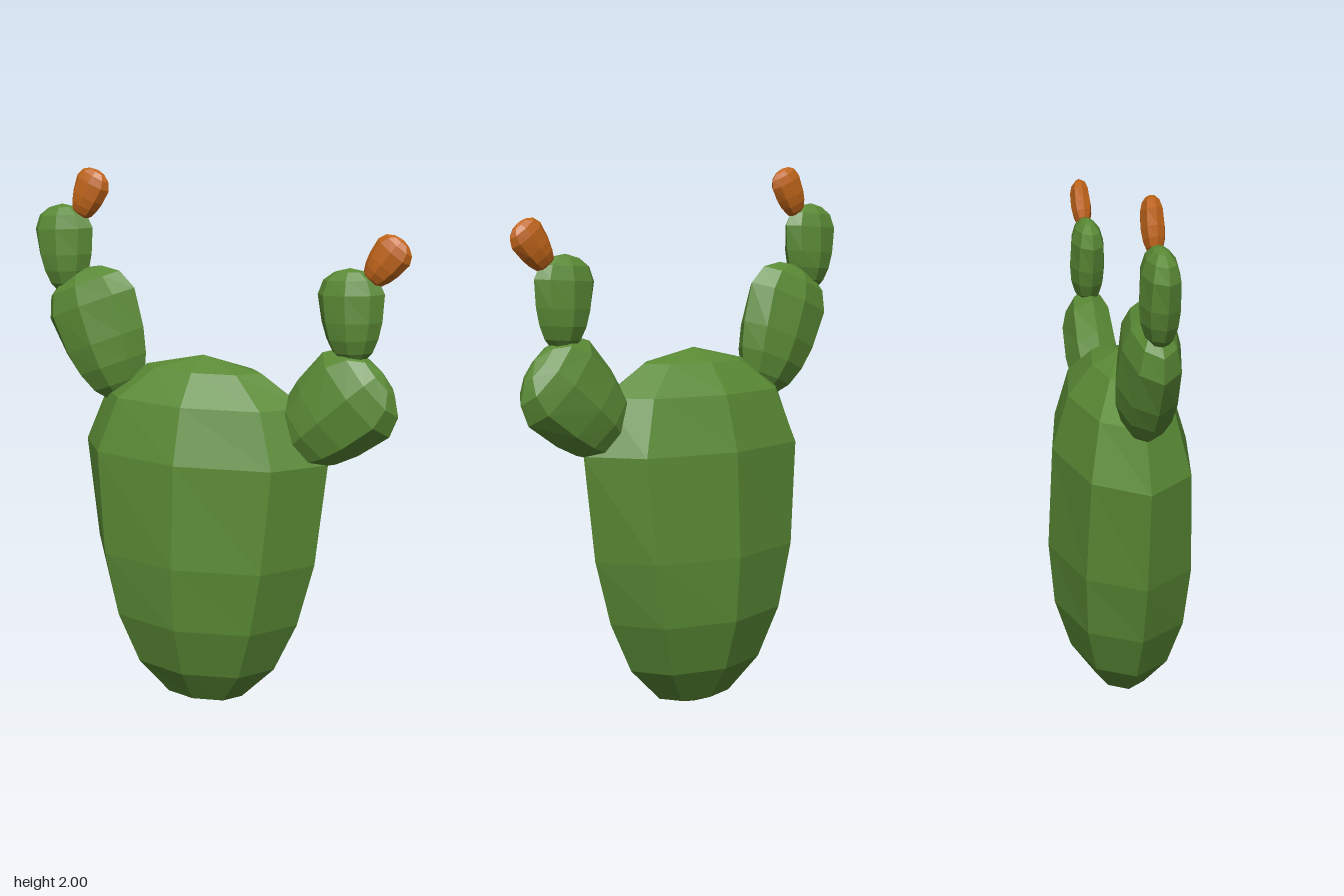
import * as THREE from 'three';

// Pad profile from base to crown: height, half width, half depth
const PROFILE = [
  [0, 0, 0], [0.04, 0.16, 0.1], [0.17, 0.29, 0.19], [0.36, 0.38, 0.25],
  [0.6, 0.445, 0.27], [0.98, 0.49, 0.25], [1.18, 0.4, 0.19], [1.29, 0.23, 0.1], [1.34, 0, 0],
];

// Eight-sided lathe, flattened front to back ring by ring
function padGeometry() {
  const geo = new THREE.LatheGeometry(PROFILE.map(([y, w]) => new THREE.Vector2(w, y)), 8);
  const pos = geo.attributes.position;
  for (let i = 0; i < pos.count; i++) {
    const [, w, d] = PROFILE[i % PROFILE.length];
    pos.setZ(i, w > 0 ? pos.getZ(i) * d / w : 0);
  }
  geo.computeVertexNormals();
  return geo;
}

export function createModel() {
  const group = new THREE.Group();
  const geo = padGeometry();
  const green = new THREE.MeshStandardMaterial({ color: 0x5a8a35, flatShading: true });
  const orange = new THREE.MeshStandardMaterial({ color: 0xc0651a, flatShading: true });

  // Places one pad by its base point; positive tilt leans towards +x
  function addPad(name, material, x, y, tiltDegrees, width, height = width) {
    const mesh = new THREE.Mesh(geo, material);
    mesh.name = name;
    mesh.position.set(x, y, 0);
    mesh.rotation.z = -THREE.MathUtils.degToRad(tiltDegrees);
    mesh.scale.set(width, height, width);
    group.add(mesh);
  }

  addPad('body', green, -0.04, 0, 0, 1);

  // Taller arm on the model's right
  addPad('rightArm', green, -0.365, 1.145, -21, 0.395, 0.385);
  addPad('rightUpperPad', green, -0.6, 1.527, -3, 0.25);
  addPad('rightFruit', orange, -0.545, 1.812, 25, 0.145);

  // Shorter arm on the model's left
  addPad('leftArm', green, 0.286, 1.009, 48, 0.385, 0.36);
  addPad('leftUpperPad', green, 0.535, 1.35, -3, 0.25);
  addPad('leftFruit', orange, 0.585, 1.635, 38, 0.145);

  return group;
}
